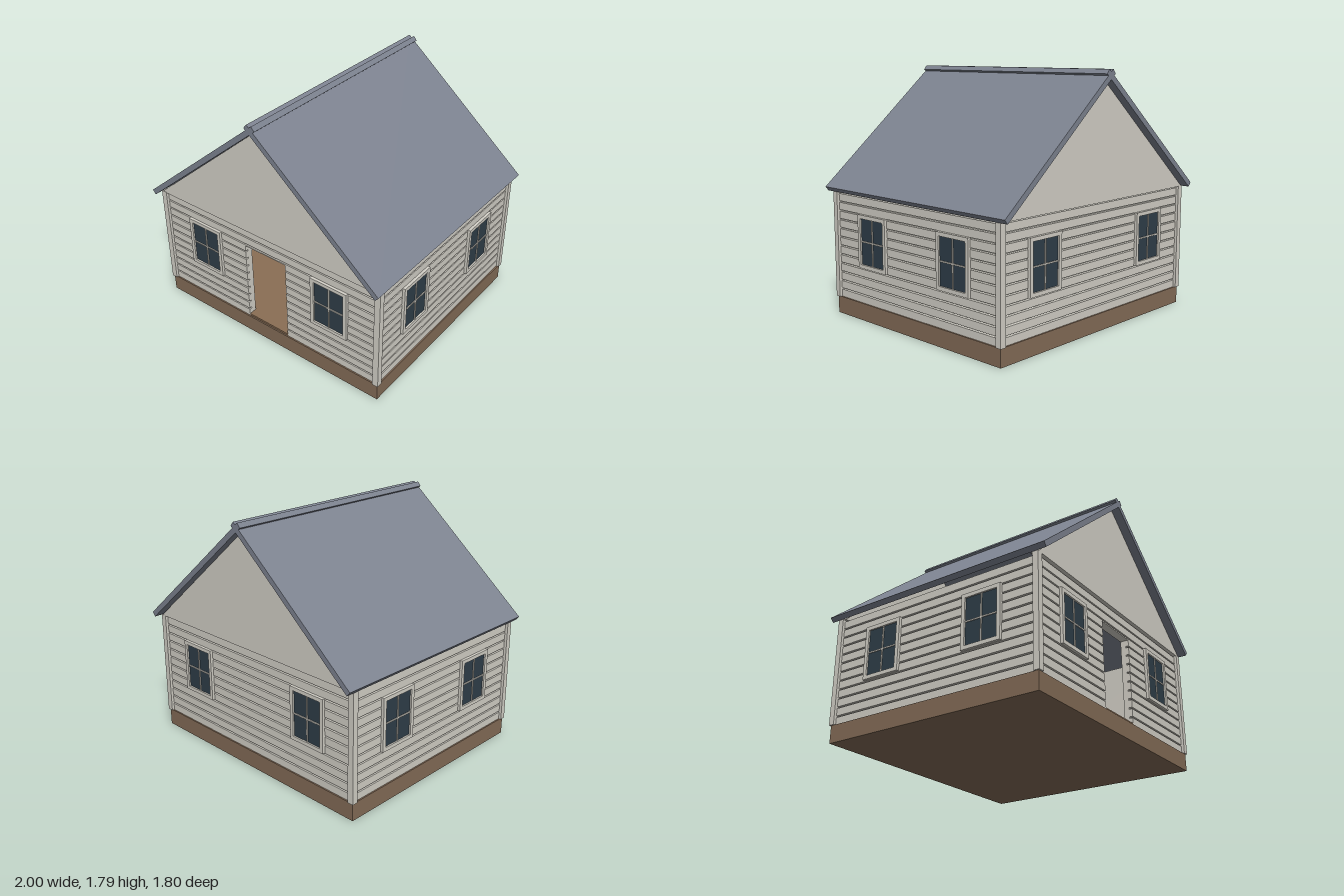
import * as THREE from 'three';

const mat = (name, color) => Object.assign(new THREE.MeshStandardMaterial({ color }), { name });

export function createModel() {
  const siding = mat('warm grey siding', 0xd4d1c8);
  const base = mat('brown foundation', 0x846c57);
  const timber = mat('floor timber', 0x8a6e54);
  const slate = mat('slate roof', 0x7d8390);
  const glass = mat('dark glass', 0x2f3e49);

  const house = new THREE.Group();
  house.name = 'house';

  // box given by its lower and upper limits
  const box = (parent, name, material, x0, x1, y0, y1, z0, z1) => {
    const m = new THREE.Mesh(new THREE.BoxGeometry(x1 - x0, y1 - y0, z1 - z0), material);
    m.position.set((x0 + x1) / 2, (y0 + y1) / 2, (z0 + z1) / 2);
    m.name = name;
    parent.add(m);
    return m;
  };
  // closed outline in x and y, extruded from z0 to z1
  const prism = (parent, name, material, pts, z0, z1, hole) => {
    const shape = new THREE.Shape(pts.map(p => new THREE.Vector2(...p)));
    if (hole) shape.holes.push(new THREE.Path(hole.map(p => new THREE.Vector2(...p))));
    const g = new THREE.ExtrudeGeometry(shape, { depth: z1 - z0, bevelEnabled: false });
    const m = new THREE.Mesh(g, material);
    m.position.z = z0;
    m.name = name;
    parent.add(m);
    return m;
  };
  const rect = (w, h) => [[-w, -h], [w, -h], [w, h], [-w, h]];

  const HX = 0.975, HZ = 0.84, Y0 = 0.125, Y1 = 0.9;
  const ROWS = 12, PITCH = (Y1 - Y0) / ROWS, GAP = 0.011;

  // foundation and interior floor
  box(house, 'foundation', base, -0.965, 0.965, 0, Y0, -0.83, 0.83);
  box(house, 'floor', timber, -0.9, 0.9, Y0, 0.14, -0.79, 0.79);
  box(house, 'threshold', timber, -0.18, 0.18, Y0, 0.14, 0.78, 0.82);

  // backing wall with separate horizontal boards, clipped to a rectangle
  function panel(wall, d, x0, x1, y0, y1) {
    box(wall, 'wallBacking', siding, x0, x1, y0, y1, d - 0.08, d - 0.043);
    for (let i = 0; i < ROWS; i++) {
      const a = Math.max(y0, Y0 + i * PITCH);
      const b = Math.min(y1, Y0 + (i + 1) * PITCH - GAP);
      if (b - a > 0.004) box(wall, 'sidingBoard', siding, x0, x1, a, b, d - 0.045, d - 0.02);
    }
  }

  // four-pane window with a raised frame
  function addWindow(wall, d, x) {
    const w = new THREE.Group();
    w.name = 'window';
    w.position.set(x, 0.578, d);
    prism(w, 'windowFrame', siding, rect(0.15, 0.192), -0.025, 0, rect(0.123, 0.165).reverse());
    box(w, 'windowGlass', glass, -0.123, 0.123, -0.165, 0.165, -0.019, -0.012);
    box(w, 'verticalBar', siding, -0.005, 0.005, -0.165, 0.165, -0.013, -0.006);
    box(w, 'horizontalBar', siding, -0.123, 0.123, -0.005, 0.005, -0.013, -0.006);
    wall.add(w);
  }

  // one wall facing local +z, turned into place
  function addWall(name, turn, half, d, windowX, door) {
    const wall = new THREE.Group();
    wall.name = name;
    wall.rotation.y = turn;
    const e = half - 0.042;
    if (door) {
      panel(wall, d, -e, -0.18, Y0, Y1);
      panel(wall, d, 0.18, e, Y0, Y1);
      panel(wall, d, -0.18, 0.18, 0.75, Y1);
    } else panel(wall, d, -e, e, Y0, Y1);
    for (const s of [-1, 1]) addWindow(wall, d, s * windowX);
    house.add(wall);
  }
  addWall('frontWall', 0, HX, HZ, 0.56, true);
  addWall('backWall', Math.PI, HX, HZ, 0.56, false);
  addWall('leftWall', Math.PI / 2, HZ, HX, 0.41, false);
  addWall('rightWall', -Math.PI / 2, HZ, HX, 0.41, false);

  // corner posts
  for (const sx of [-1, 1]) for (const sz of [-1, 1]) {
    const post = box(house, 'cornerPost', siding, -0.0225, 0.0225, Y0, 0.905, -0.021, 0.021);
    post.position.x = sx * (HX - 0.0225);
    post.position.z = sz * (HZ - 0.021);
  }

  // gables
  const gable = [[-0.97, Y1], [0.97, Y1], [0, 1.718]];
  prism(house, 'frontGable', siding, gable, HZ - 0.06, HZ - 0.002);
  prism(house, 'backGable', siding, gable, -HZ + 0.002, -HZ + 0.06);

  // roof slabs crossing at the ridge
  const slab = [[0.975, 0.902], [1, 0.932], [-0.02, 1.786], [-0.045, 1.756]];
  prism(house, 'leftRoof', slate, slab, -0.9, 0.9);
  prism(house, 'rightRoof', slate, slab.map(([x, y]) => [-x, y]).reverse(), -0.9, 0.9);

  return house;
}
